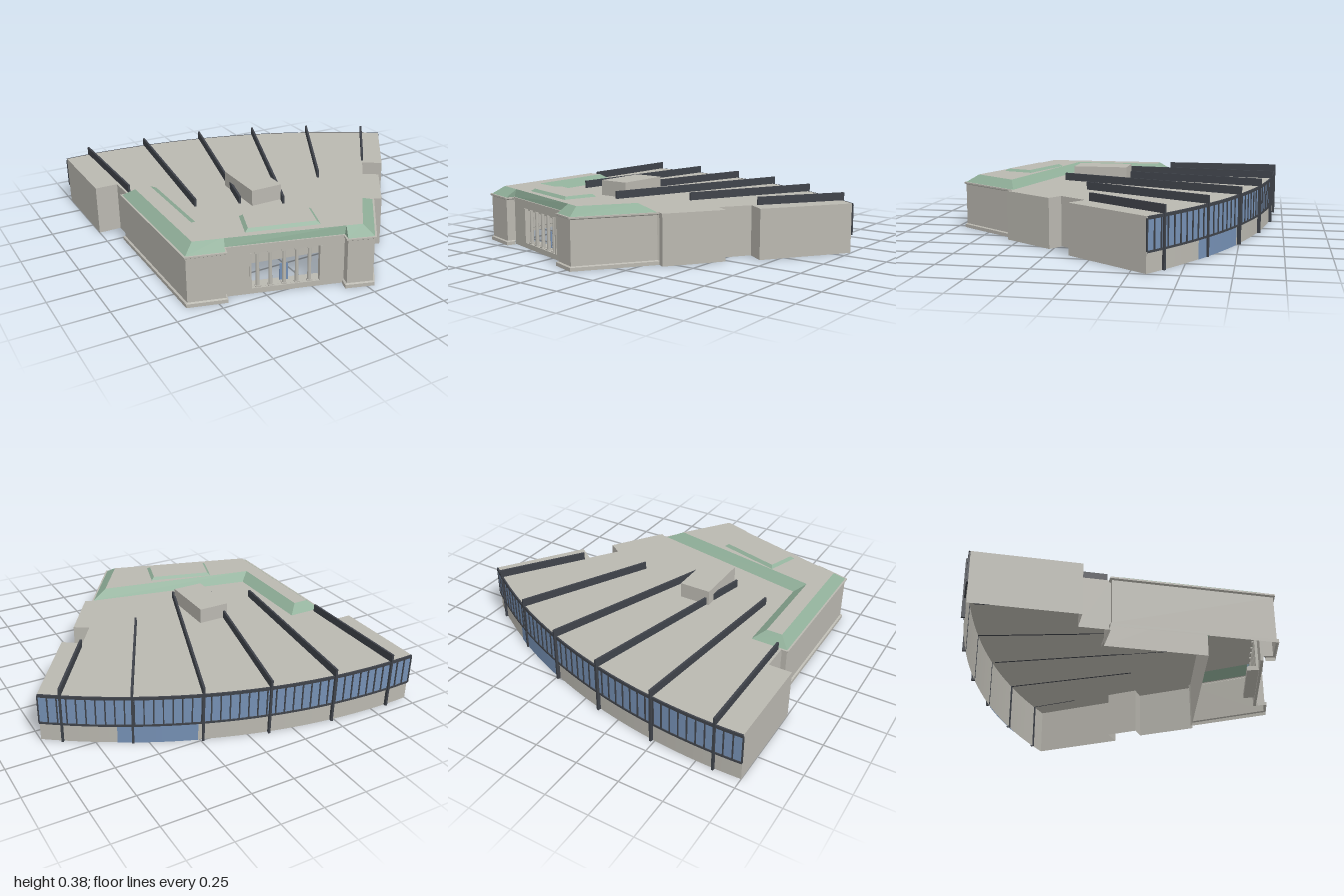
import * as THREE from 'three';

const mat = (name, color, side = THREE.DoubleSide) =>
  Object.assign(new THREE.MeshStandardMaterial({ color, side }), { name });

// Outward offset of a closed plan outline of [x, z] points
function offset(pts, d) {
  const n = pts.length;
  const normal = (a, b) => {
    const l = Math.hypot(b[0] - a[0], b[1] - a[1]);
    return [-(b[1] - a[1]) / l, (b[0] - a[0]) / l];
  };
  return pts.map((p, i) => {
    const u = normal(pts[(i + n - 1) % n], p), v = normal(p, pts[(i + 1) % n]);
    const k = d / Math.max(0.4, 1 + u[0] * v[0] + u[1] * v[1]);
    return [p[0] + (u[0] + v[0]) * k, p[1] + (u[1] + v[1]) * k];
  });
}

// Flat-sided surface through rings of { pts, y }, over the chosen segments
function loft(rings, closed = true, skip = []) {
  const pos = [], n = rings[0].pts.length;
  for (let r = 0; r < rings.length - 1; r++) {
    for (let i = 0; i < (closed ? n : n - 1); i++) {
      if (skip.includes(i)) continue;
      const j = (i + 1) % n, lo = rings[r], hi = rings[r + 1];
      const v = (ring, k) => [ring.pts[k][0], ring.y, ring.pts[k][1]];
      const a = v(lo, i), b = v(lo, j), c = v(hi, j), d = v(hi, i);
      pos.push(...a, ...b, ...c, ...a, ...c, ...d);
    }
  }
  const g = new THREE.BufferGeometry();
  g.setAttribute('position', new THREE.Float32BufferAttribute(pos, 3));
  g.computeVertexNormals();
  return g;
}

// Horizontal cap over a plan outline
function cap(pts, y) {
  const s = new THREE.Shape(pts.map(([x, z]) => new THREE.Vector2(x, -z)));
  return new THREE.ShapeGeometry(s).rotateX(-Math.PI / 2).translate(0, y, 0);
}

export function createModel() {
  const root = new THREE.Group();
  root.name = 'building';
  const stone = mat('stone', 0xbab8b0);
  const copper = mat('green roof', 0x8fae98);
  const glass = mat('blue glass', 0x7590b4);
  const dark = mat('dark metal', 0x3f434a);
  const add = (name, geo, m, parent = root) => {
    const mesh = new THREE.Mesh(geo, m);
    mesh.name = name;
    parent.add(mesh);
    return mesh;
  };
  const box = (name, m, x0, x1, y0, y1, z0, z1, parent) =>
    add(name, new THREE.BoxGeometry(x1 - x0, y1 - y0, z1 - z0)
      .translate((x0 + x1) / 2, (y0 + y1) / 2, (z0 + z1) / 2), m, parent);

  const H = 0.285, TOP = 0.33;

  // Curved back, on one large circle
  const CX = -0.85, CZ = 2.21, R = 3.15;
  const angle = x => Math.asin((x - CX) / R);
  const A0 = angle(-1), A1 = angle(1);
  const onArc = (a, r) => [CX + r * Math.sin(a), CZ - r * Math.cos(a)];
  const arc = (r, from = A1, to = A0, n = 40) =>
    Array.from({ length: n + 1 }, (_, i) => onArc(from + (to - from) * i / n, r));

  // Main hall: open-bottomed shell with a flat roof
  const hall = [[-0.69, 0.35], [0.3, 0.55], [0.31, 0.545], [0.35, 0.57], [0.55, 0.27],
    [0.47, 0.22], [0.58, 0.06], [0.68, 0.13], ...arc(R - 0.006),
    [-1, -0.38], [-0.87, -0.38], [-0.87, -0.215], [-0.69, -0.215]];
  add('hallWalls', loft([{ pts: hall, y: 0 }, { pts: hall, y: H }]), stone);
  add('hallRoof', cap(hall, H), stone);
  box('roofPlantRoom', stone, -0.33, -0.145, H, 0.375, -0.04, 0.29);

  // Window band, its rails and the glazed rear entrance
  const band = (name, m, r, y0, y1, from, to) => {
    const p = arc(r, from, to);
    add(name, loft([{ pts: p, y: y0 }, { pts: p, y: y1 }], false), m);
  };
  band('windowBand', glass, R - 0.002, 0.11, 0.275);
  band('rearEntrance', glass, R - 0.002, 0, 0.105, angle(0.65), angle(0.26));
  for (const [y0, y1] of [[0.104, 0.115], [0.268, H]]) {
    const a = arc(R - 0.006), b = arc(R + 0.003);
    add('windowRail', loft([{ pts: a, y: y0 }, { pts: b, y: y0 },
      { pts: b, y: y1 }, { pts: a, y: y1 }], false), dark);
  }
  const mullions = 42;
  for (let i = 0; i <= mullions; i++) {
    const a = A0 + (A1 - A0) * i / mullions, [x, z] = onArc(a, R - 0.001);
    const m = add('mullion', new THREE.BoxGeometry(0.007, 0.165, 0.008), dark);
    m.position.set(x, 0.1925, z);
    m.rotation.y = -a;
  }

  // Roof fins, each ending in a full-height post on the curved back
  const fins = [[-0.85, -0.95, -0.85, -0.23], [-0.48, -0.93, -0.605, 0.14],
    [-0.11, -0.865, -0.375, 0.23], [0.24, -0.76, -0.165, 0.35],
    [0.58, -0.605, 0.205, 0.13], [0.905, -0.415, 0.6, 0.03]];
  for (const [x0, z0, x1, z1] of fins) {
    const fin = new THREE.Group();
    fin.name = 'roofFin';
    fin.position.set(x0, 0, z0);
    fin.rotation.y = Math.atan2(x1 - x0, z1 - z0);
    root.add(fin);
    box('finBeam', dark, -0.006, 0.006, H, TOP, 0, Math.hypot(x1 - x0, z1 - z0), fin);
    box('finPost', dark, -0.006, 0.006, 0, H, 0, 0.02, fin);
  }

  // L-shaped front wing: plinth, walls and cornice
  const wing = [[-0.9, 0.65], [-0.71, 0.705], [-0.695, 0.655], [-0.085, 0.838],
    [-0.1, 0.89], [0.035, 0.935], [0.3, 0.55], [-0.69, 0.35], [-0.69, -0.215], [-0.9, -0.215]];
  const wide = offset(wing, 0.01);
  add('wingWalls', loft([{ pts: wide, y: 0 }, { pts: wide, y: 0.02 }, { pts: wing, y: 0.025 },
    { pts: wing, y: 0.27 }, { pts: wide, y: 0.276 }, { pts: wide, y: H }, { pts: wing, y: H }],
  true, [2, 6, 7]), stone);

  // Hipped green roof with a flat top
  const flat = [[-0.84, 0.6], [-0.7, 0.643], [-0.685, 0.647], [-0.09, 0.829], [-0.075, 0.834],
    [0.01, 0.86], [0.2, 0.59], [-0.75, 0.4], [-0.75, -0.155], [-0.84, -0.155]];
  add('wingRoofSlopes', loft([{ pts: wing, y: H }, { pts: flat, y: TOP }]), copper);
  add('wingRoofTop', cap(flat, TOP), stone);

  // Raised roof panel over the entrance
  const panel = [[-0.565, 0.645], [-0.18, 0.755], [-0.12, 0.565], [-0.5, 0.455]];
  const inner = offset(panel, -0.018);
  add('raisedRoofSlopes', loft([{ pts: panel, y: TOP }, { pts: inner, y: 0.345 }]), copper);
  add('raisedRoofTop', cap(inner, 0.345), stone);

  // Entrance front: wall with an open portico
  const [p, q] = [wing[2], wing[3]];
  const L = Math.hypot(q[0] - p[0], q[1] - p[1]);
  const along = x => (x - p[0]) / (q[0] - p[0]) * L;
  const front = new THREE.Group();
  front.name = 'portico';
  front.position.set(p[0], 0, p[1]);
  front.rotation.y = -Math.atan2(q[1] - p[1], q[0] - p[0]);
  root.add(front);
  const rect = (s, x0, x1, y0, y1) =>
    s.moveTo(x0, y0).lineTo(x1, y0).lineTo(x1, y1).lineTo(x0, y1).closePath();
  const h0 = along(-0.57), h1 = along(-0.2);
  const wall = rect(new THREE.Shape(), 0, L, 0, H);
  wall.holes.push(rect(new THREE.Path(), h0, h1, 0.03, 0.235));
  add('porticoWall', new THREE.ExtrudeGeometry(wall, { depth: 0.015, bevelEnabled: false })
    .translate(0, 0, -0.015), stone, front);
  box('porticoCornice', stone, 0, L, 0.276, H, 0, 0.008, front);
  box('porticoFloor', stone, h0, h1, 0.005, 0.03, -0.08, -0.016, front);
  box('frontDoor', glass, along(-0.405), along(-0.362), 0.03, 0.125, -0.06, -0.054, front);

  // Columns with square bases and capitals, half-width piers at the ends
  for (const x of [-0.525, -0.46, -0.39, -0.325, -0.26]) {
    const c = along(x);
    add('column', new THREE.CylinderGeometry(0.009, 0.011, 0.205, 12)
      .translate(c, 0.1325, -0.02), stone, front);
    box('columnCapital', stone, c - 0.015, c + 0.015, 0.225, 0.235, -0.035, -0.005, front);
    box('columnBase', stone, c - 0.014, c + 0.014, 0.03, 0.037, -0.034, -0.006, front);
  }
  for (const c of [h0, h1 - 0.012]) box('endPier', stone, c, c + 0.012, 0.03, 0.235, -0.03, 0.004, front);

  return root;
}
